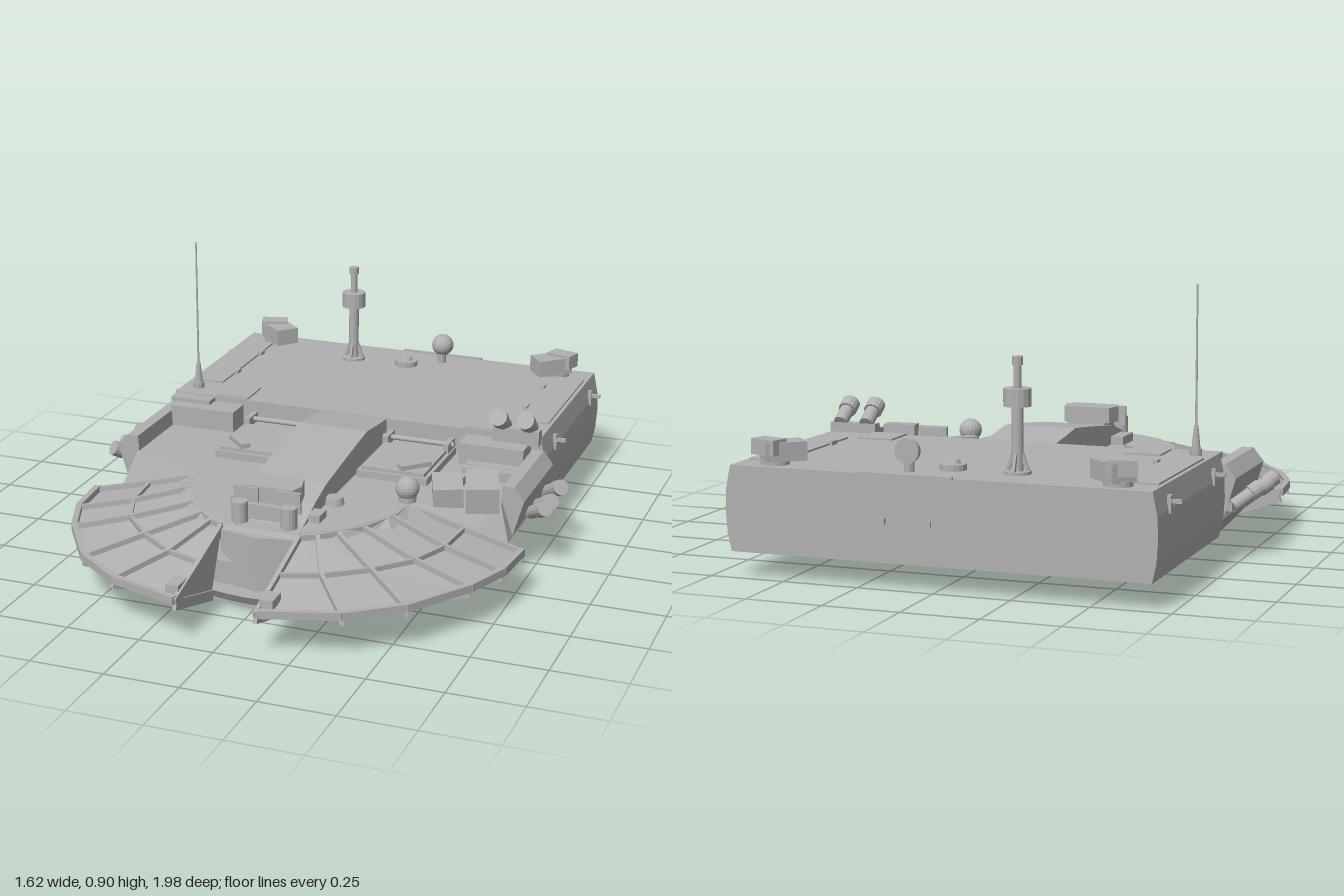
import * as THREE from 'three';

const grey = new THREE.MeshStandardMaterial({ color: 0xb0b0b0, side: THREE.DoubleSide, flatShading: true });
grey.name = 'plain grey';
const smoothGrey = grey;
const V = (x, y, z) => new THREE.Vector3(x, y, z);

export function createModel() {
  const model = new THREE.Group();
  model.name = 'turret';

  const add = (name, geo, x = 0, y = 0, z = 0, rx = 0, ry = 0, rz = 0) => {
    const m = new THREE.Mesh(geo, smoothGrey);
    m.name = name;
    m.position.set(x, y, z);
    m.rotation.set(rx, ry, rz);
    model.add(m);
    return m;
  };
  // box given by its extents
  const box = (name, x0, x1, y0, y1, z0, z1) =>
    add(name, new THREE.BoxGeometry(Math.abs(x1 - x0), y1 - y0, z1 - z0), (x0 + x1) / 2, (y0 + y1) / 2, (z0 + z1) / 2);
  // upright cylinder from y0 to y1
  const post = (name, x, z, y0, y1, r0, r1 = r0, sides = 16) =>
    add(name, new THREE.CylinderGeometry(r1, r0, y1 - y0, sides), x, (y0 + y1) / 2, z);
  const beam = (name, a, b, w, h) => {
    const m = add(name, new THREE.BoxGeometry(w, h, a.distanceTo(b)));
    m.position.copy(a).lerp(b, 0.5);
    m.lookAt(b);
  };
  const tube = (name, a, b, r0, r1 = r0) => {
    const m = add(name, new THREE.CylinderGeometry(r1, r0, a.distanceTo(b), 14));
    m.position.copy(a).lerp(b, 0.5);
    m.quaternion.setFromUnitVectors(V(0, 1, 0), b.clone().sub(a).normalize());
  };
  // flat faces from lists of corner points, each fanned from its first corner
  const faces = (name, list) => {
    const p = [];
    for (const f of list)
      for (let i = 1; i < f.length - 1; i++) for (const v of [f[0], f[i], f[i + 1]]) p.push(v.x, v.y, v.z);
    const g = new THREE.BufferGeometry();
    g.setAttribute('position', new THREE.Float32BufferAttribute(p, 3));
    g.computeVertexNormals();
    add(name, g);
  };
  const extrude = (pts, depth) =>
    new THREE.ExtrudeGeometry(new THREE.Shape(pts.map(p => new THREE.Vector2(...p))), { depth, bevelEnabled: false });

  // turret ring and collar
  post('turretRing', 0, 0.165, 0, 0.03, 0.5, 0.5, 48);
  post('ringCollar', 0, 0.165, 0.028, 0.06, 0.53, 0.55, 48);

  // front hull, lofted from three half outlines [x, z] mirrored about the centre
  const outlines = [
    [0.05, [[0.13, 0.64], [0.3, 0.6], [0.45, 0.5], [0.53, 0.25], [0.62, 0.1], [0.64, -0.26]]],
    [0.14, [[0.13, 0.64], [0.28, 0.61], [0.45, 0.5], [0.56, 0.25], [0.7, 0.18], [0.7, -0.26]]],
    [0.26, [[0.13, 0.6], [0.25, 0.53], [0.35, 0.38], [0.38, 0.25], [0.66, 0.14], [0.66, -0.26]]],
  ].map(([y, h]) => [...h.map(p => V(p[0], y, p[1])), ...h.slice().reverse().map(p => V(-p[0], y, p[1]))]);
  const hull = [];
  for (let k = 0; k < 2; k++)
    outlines[k].forEach((p, i, o) => {
      const j = (i + 1) % o.length;
      hull.push([p, outlines[k + 1][i], outlines[k + 1][j], o[j]]);
    });
  // caps are built as strips between the mirrored halves
  for (const k of [0, 2]) {
    const o = outlines[k], n = o.length;
    for (let i = 0; i < n / 2 - 1; i++) {
      const q = [o[i], o[i + 1], o[n - 2 - i], o[n - 1 - i]];
      hull.push(k ? q : q.reverse());
    }
  }
  faces('frontHull', hull);

  // arched spine over the gun mount, with a shallow pointed nose
  const spine = [[-0.26, 0.06], [-0.26, 0.35], [-0.15, 0.362], [-0.05, 0.375], [0.05, 0.365], [0.2, 0.347],
    [0.35, 0.328], [0.45, 0.3], [0.54, 0.265], [0.63, 0.245], [0.63, 0.03], [0.2, 0.03]].map(([z, y]) => [-z, y]);
  add('spine', extrude(spine, 0.25), -0.125, 0, 0, 0, Math.PI / 2);
  add('nose', extrude([[-0.13, -0.6], [0.13, -0.6], [0.13, -0.63], [0, -0.66], [-0.13, -0.63]], 0.215), 0, 0.03, 0, -Math.PI / 2);

  // wide rear bustle with bulging sides
  const half = [[0.685, 0.08], [0.698, 0.14], [0.703, 0.21], [0.7, 0.28], [0.685, 0.353]];
  add('bustle', extrude([...half, ...half.slice().reverse().map(([x, y]) => [-x, y])], 0.735), 0, 0, -0.985);
  box('bustleBottomPanel', -0.42, 0.42, 0.074, 0.082, -0.8, -0.25);
  box('rearTopStrip', -0.06, 0.25, 0.35, 0.358, -0.992, -0.98);
  for (const x of [0.02, 0.17]) box('rearBolt', x - 0.01, x + 0.01, 0.2, 0.22, -0.995, -0.98);

  // ribbed cheek armour
  const plan = {
    outer: [[0.765, 0.24], [0.75, 0.41], [0.69, 0.565], [0.55, 0.775], [0.385, 0.9], [0.135, 0.98]],
    mid: [[0.565, 0.24], [0.55, 0.4], [0.495, 0.535], [0.39, 0.65], [0.26, 0.745], [0.135, 0.79]],
    inner: [[0.375, 0.24], [0.36, 0.35], [0.3, 0.465], [0.235, 0.535], [0.185, 0.58], [0.135, 0.61]],
    low: [[0.52, 0.24], [0.52, 0.37], [0.47, 0.5], [0.37, 0.6], [0.25, 0.67], [0.135, 0.7]],
  };
  for (const s of [1, -1]) {
    const at = (key, y) => plan[key].map(([x, z]) => V(s * x, y, z));
    const top = at('outer', 0.135), mid = at('mid', 0.187), inner = at('inner', 0.24);
    const low = at('low', 0.042), under = at('outer', 0.13);
    const core = [];
    for (let i = 0; i < 5; i++) {
      core.push([top[i], top[i + 1], mid[i + 1], mid[i]], [mid[i], mid[i + 1], inner[i + 1], inner[i]]);
      core.push([under[i], low[i], low[i + 1], under[i + 1]], [top[i], under[i], under[i + 1], top[i + 1]]);
    }
    for (const i of [0, 5]) core.push([top[i], mid[i], inner[i], low[i], under[i]]);
    faces('cheekArmour', core);
    const up = v => v.clone().add(V(0, 0.01, 0));
    for (let i = 0; i < 6; i++) {
      beam('cheekTopRib', top[i], mid[i], 0.014, 0.034);
      beam('cheekTopRib', mid[i], inner[i], 0.014, 0.034);
      beam('cheekUnderRib', under[i], low[i], 0.014, 0.034);
      if (i === 5) break;
      beam('cheekRim', up(top[i]), up(top[i + 1]), 0.02, 0.026);
      beam('cheekMidRib', mid[i], mid[i + 1], 0.012, 0.03);
      beam('cheekInnerRib', inner[i], inner[i + 1], 0.014, 0.034);
      beam('cheekLowerRib', low[i], low[i + 1], 0.016, 0.03);
    }
    box('cheekEndBlock', s * 0.135, s * 0.18, 0.15, 0.18, 0.88, 0.95);

    // side bin beside the deck
    const bin = [[0.65, 0.15], [0.7, 0.15], [0.735, 0.27], [0.7, 0.315], [0.66, 0.315]].map(([x, y]) => [s * x, y]);
    add('sideBin', extrude(bin, 0.36), 0, 0, -0.235);
    // smoke launchers
    for (const [z, y] of [[-0.2, 0.175], [-0.08, 0.17], [0, 0.175]]) {
      const a = V(s * 0.72, y, z - 0.02), b = V(s * 0.79, y + 0.055, z + 0.06);
      tube('smokeTube', a, b, 0.022);
      tube('smokeTubeMouth', a.clone().lerp(b, 0.65), b, 0.027);
      beam('smokeTubeBracket', V(s * 0.66, y, z - 0.03), a, 0.02, 0.03);
    }

    // roof hatch with frame, rod and handle
    box('hatchFrame', s * 0.135, s * 0.385, 0.25, 0.285, -0.24, 0.085);
    box('hatchLid', s * 0.148, s * 0.372, 0.28, 0.297, -0.17, 0.072);
    tube('hatchRod', V(s * 0.13, 0.305, -0.205), V(s * 0.39, 0.305, -0.205), 0.009);
    for (const x of [0.15, 0.37]) box('hatchHinge', s * (x - 0.01), s * (x + 0.01), 0.27, 0.318, -0.24, -0.165);
    beam('hatchHandle', V(s * 0.36, 0.303, -0.02), V(s * 0.28, 0.303, 0.06), 0.035, 0.02);

    // bustle roof panels, hinges and side hooks
    box('roofPanel', s * 0.56, s * 0.672, 0.35, 0.359, -0.88, -0.39);
    box('roofSmallPanel', s * 0.405, s * 0.525, 0.35, 0.359, -0.38, -0.255);
    for (const z of [-0.75, -0.52]) box('roofHinge', s * 0.548, s * 0.562, 0.35, 0.366, z - 0.018, z + 0.018);
    for (const z of [-0.865, -0.38]) {
      box('sideHook', s * 0.69, s * 0.74, 0.3, 0.312, z - 0.006, z + 0.006);
      box('sideHookPlate', s * 0.695, s * 0.708, 0.27, 0.325, z - 0.008, z + 0.008);
    }
    // corner camera, turned inward
    add('cornerCamera', new THREE.BoxGeometry(0.085, 0.06, 0.13), s * 0.54, 0.395, -0.905, 0, -s * 0.85, 0);
    add('cornerCameraHood', new THREE.BoxGeometry(0.095, 0.05, 0.06), s * 0.575, 0.41, -0.935, 0, -s * 0.3, 0);
    post('cornerCameraFoot', s * 0.56, -0.92, 0.35, 0.37, 0.045);
  }

  // stowage on the right deck
  box('deckBin', -0.66, -0.42, 0.25, 0.335, -0.25, -0.155);
  box('deckBinLid', -0.68, -0.53, 0.33, 0.35, -0.25, -0.2);

  // equipment on the left deck
  box('deckBin', 0.42, 0.65, 0.25, 0.335, -0.25, -0.155);
  for (const z of [-0.1, -0.06]) box('flatCase', 0.47, 0.65, 0.25, 0.295, z - 0.012, z + 0.024);
  box('smallCase', 0.41, 0.5, 0.25, 0.29, 0, 0.075);
  add('sightBox', new THREE.BoxGeometry(0.11, 0.09, 0.15), 0.59, 0.285, 0.12, 0.1, 0.3, 0);
  add('sightBox', new THREE.BoxGeometry(0.1, 0.09, 0.13), 0.48, 0.275, 0.15, 0.1, 0.35, 0);
  add('domeSight', new THREE.SphereGeometry(0.04, 16, 12), 0.365, 0.305, 0.225);
  post('domeSightBase', 0.365, 0.225, 0.22, 0.3, 0.03);
  for (const x of [0.555, 0.65]) {
    tube('upperTube', V(x, 0.385, -0.255), V(x, 0.44, -0.17), 0.024);
    tube('upperTubeMouth', V(x, 0.42, -0.2), V(x, 0.443, -0.165), 0.031);
  }
  box('upperTubeMount', 0.52, 0.685, 0.33, 0.385, -0.26, -0.22);

  // small fittings beside the spine
  box('deckBox', -0.17, -0.125, 0.25, 0.29, 0.34, 0.455);
  box('deckBox', 0.125, 0.165, 0.25, 0.285, 0.45, 0.51);
  post('deckCap', 0.15, 0.335, 0.25, 0.285, 0.035, 0.028);

  // front sight on the spine
  box('frontSightBase', -0.07, 0.07, 0.27, 0.32, 0.44, 0.57);
  add('frontSight', extrude([[-0.1, -0.5], [-0.085, -0.44], [0.085, -0.44], [0.1, -0.5], [0.085, -0.545], [-0.085, -0.545]], 0.055),
    0, 0.32, 0, -Math.PI / 2);
  for (const s of [1, -1]) {
    post('frontSightPost', s * 0.085, 0.575, 0.25, 0.33, 0.027);
    box('frontSightPlate', s * 0.03, s * 0.115, 0.3, 0.37, 0.54, 0.552);
  }

  // whip antenna
  post('antennaBase', -0.625, -0.32, 0.35, 0.375, 0.02);
  post('antennaSpring', -0.625, -0.32, 0.37, 0.45, 0.015, 0.007);
  post('antennaWhip', -0.625, -0.32, 0.44, 0.9, 0.004, 0.003, 8);

  // sensor mast
  post('mastFlange', -0.21, -0.83, 0.35, 0.362, 0.043);
  for (let i = 0; i < 4; i++) {
    const a = i * Math.PI / 2;
    beam('mastBrace', V(-0.21 + 0.036 * Math.cos(a), 0.355, -0.83 + 0.036 * Math.sin(a)),
      V(-0.21 + 0.014 * Math.cos(a), 0.415, -0.83 + 0.014 * Math.sin(a)), 0.008, 0.012);
  }
  post('mastPole', -0.21, -0.83, 0.35, 0.57, 0.018);
  post('mastDrum', -0.21, -0.83, 0.56, 0.615, 0.043);
  post('mastNeck', -0.21, -0.83, 0.61, 0.69, 0.012);
  post('mastTip', -0.21, -0.83, 0.685, 0.712, 0.017);

  // roof vent and round lamp
  post('ventFlange', 0, -0.83, 0.35, 0.372, 0.042);
  post('ventCap', 0, -0.83, 0.37, 0.385, 0.025, 0.018);
  post('lampStand', 0.115, -0.905, 0.35, 0.39, 0.016);
  add('lampBowl', new THREE.SphereGeometry(0.04, 16, 10, 0, Math.PI * 2, 0, Math.PI / 2), 0.115, 0.418, -0.915, Math.PI / 2);
  add('lampGlass', new THREE.CylinderGeometry(0.04, 0.04, 0.012, 16), 0.115, 0.418, -0.92, Math.PI / 2);

  return model;
}
